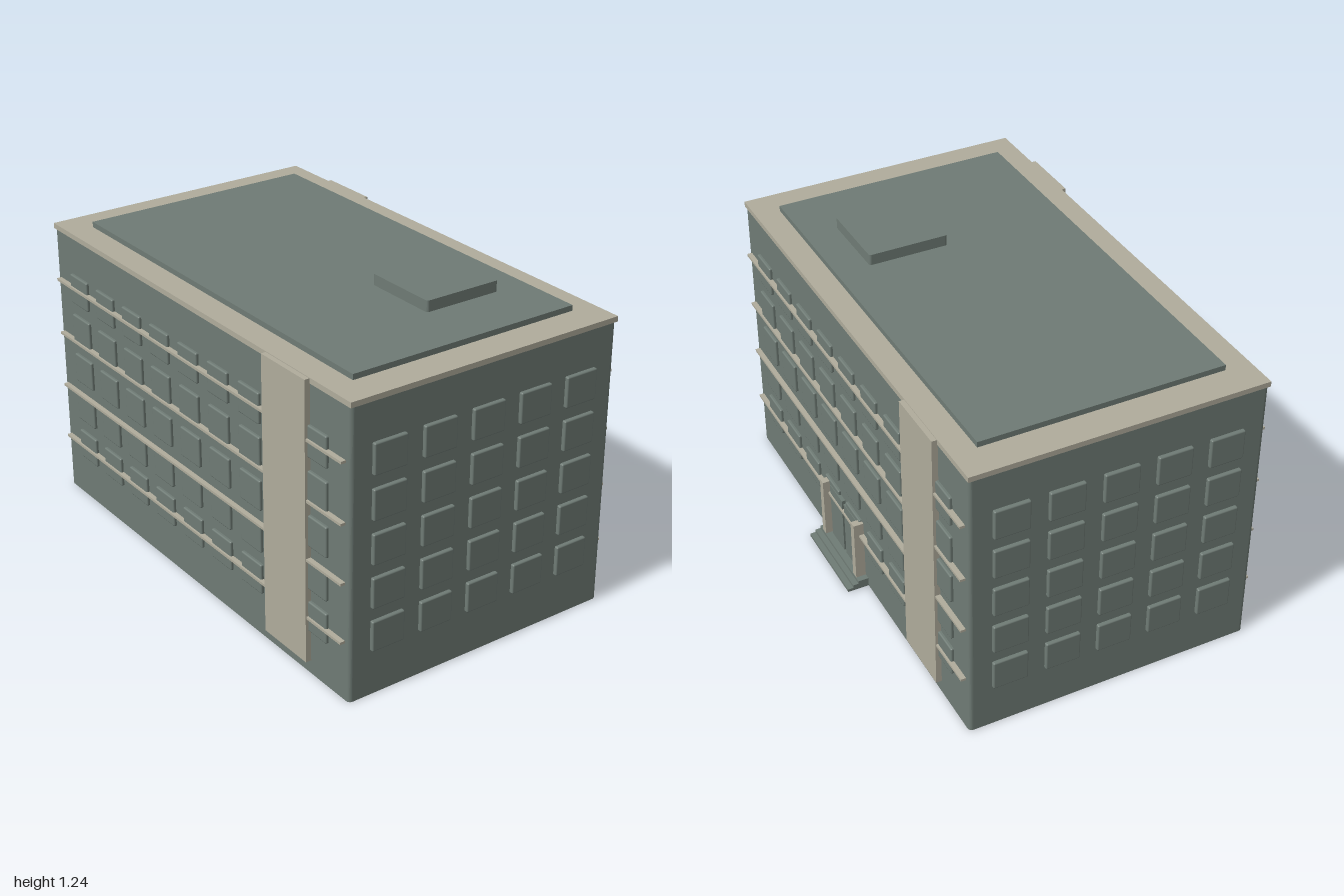
import * as THREE from 'three';
import { RoundedBoxGeometry } from 'three/addons/geometries/RoundedBoxGeometry.js';

const green = new THREE.MeshStandardMaterial({ color: 0x6f7b75 });
green.name = 'greyGreen';
const beige = new THREE.MeshStandardMaterial({ color: 0xb0ac9c });
beige.name = 'beige';

// Wall planes of the building
const WX = 0.985, ZF = 0.616, ZB = -0.551, ZC = (ZF + ZB) / 2;

// Box given by its limits on each axis
function box(parent, name, mat, [x0, x1], [y0, y1], [z0, z1]) {
  const m = new THREE.Mesh(new THREE.BoxGeometry(x1 - x0, y1 - y0, z1 - z0), mat);
  m.position.set((x0 + x1) / 2, (y0 + y1) / 2, (z0 + z1) / 2);
  m.name = name;
  parent.add(m);
  return m;
}

// Upright block with rounded vertical corners
function roundedBlock(parent, name, mat, [x0, x1], [y0, y1], [z0, z1], r) {
  const s = new THREE.Shape();
  s.absarc(x1 - r, -z0 - r, r, 0, Math.PI / 2);
  s.absarc(x0 + r, -z0 - r, r, Math.PI / 2, Math.PI);
  s.absarc(x0 + r, -z1 + r, r, Math.PI, Math.PI * 1.5);
  s.absarc(x1 - r, -z1 + r, r, Math.PI * 1.5, Math.PI * 2);
  const g = new THREE.ExtrudeGeometry(s, { depth: y1 - y0, bevelEnabled: false, curveSegments: 4 });
  g.rotateX(-Math.PI / 2);
  const m = new THREE.Mesh(g, mat);
  m.position.y = y0;
  m.name = name;
  parent.add(m);
}

export function createModel() {
  const building = new THREE.Group();
  building.name = 'building';

  // Walls, parapet and roof
  roundedBlock(building, 'walls', green, [-WX, WX], [0, 1.15], [ZB, ZF], 0.016);
  box(building, 'parapet', beige, [-0.99, 0.99], [1.148, 1.169], [ZB - 0.003, ZF + 0.003]);
  box(building, 'roofDeck', green, [-0.86, 0.86], [1.16, 1.191], [-0.455, 0.515]);
  roundedBlock(building, 'roofHut', green, [0.295, 0.61], [1.18, 1.235], [-0.32, 0.005], 0.01);

  // Window rows on all four walls
  const longWindow = new RoundedBoxGeometry(0.13, 0.122, 0.03, 2, 0.006);
  const sideWindow = new RoundedBoxGeometry(0.03, 0.122, 0.14, 2, 0.006);
  const addWindow = (geo, x, y, z) => {
    const w = new THREE.Mesh(geo, green);
    w.position.set(x, y, z);
    w.name = 'window';
    building.add(w);
  };
  for (let row = 0; row < 5; row++) {
    const y = 0.244 + row * 0.1727;
    for (let i = -4; i <= 4; i++) {
      addWindow(longWindow, i * 0.2, y, ZF - 0.003);
      addWindow(longWindow, i * 0.2, y, ZB + 0.003);
    }
    for (let i = -2; i <= 2; i++) {
      for (const s of [-1, 1]) addWindow(sideWindow, s * (WX), y, ZC + i * 0.212);
    }
  }

  // Front and back facades: ledges and one tall panel each, turned half round
  for (const side of [1, -1]) {
    const facade = new THREE.Group();
    facade.name = side > 0 ? 'frontFacade' : 'backFacade';
    const w = (ZF - ZB) / 2;
    for (const y of [0.24, 0.475, 0.708, 0.942]) {
      box(facade, 'ledge', beige, [-0.96, 0.96], [y - 0.005, y + 0.005], [w - 0.005, w + 0.02]);
    }
    box(facade, 'tallPanel', beige, [0.505, 0.76], [0.055, 1.166], [w - 0.005, w + 0.023]);
    facade.position.z = ZC;
    if (side < 0) facade.rotation.y = Math.PI;
    building.add(facade);
  }

  // Back entrance: steps, posts and double door
  const entrance = new THREE.Group();
  entrance.name = 'entrance';
  [-0.639, -0.616, -0.594].forEach((z, i) => {
    box(entrance, 'step', green, [-0.105, 0.275], [i * 0.0125, (i + 1) * 0.0125], [z, ZB + 0.01]);
  });
  for (const x of [-0.065, 0.235]) {
    box(entrance, 'post', beige, [x - 0.015, x + 0.015], [0.0375, 0.297], [-0.592, ZB + 0.01]);
  }
  for (const x of [0.018, 0.152]) {
    box(entrance, 'door', green, [x - 0.058, x + 0.058], [0.0375, 0.285], [ZB - 0.015, ZB + 0.01]);
  }
  building.add(entrance);

  return building;
}
